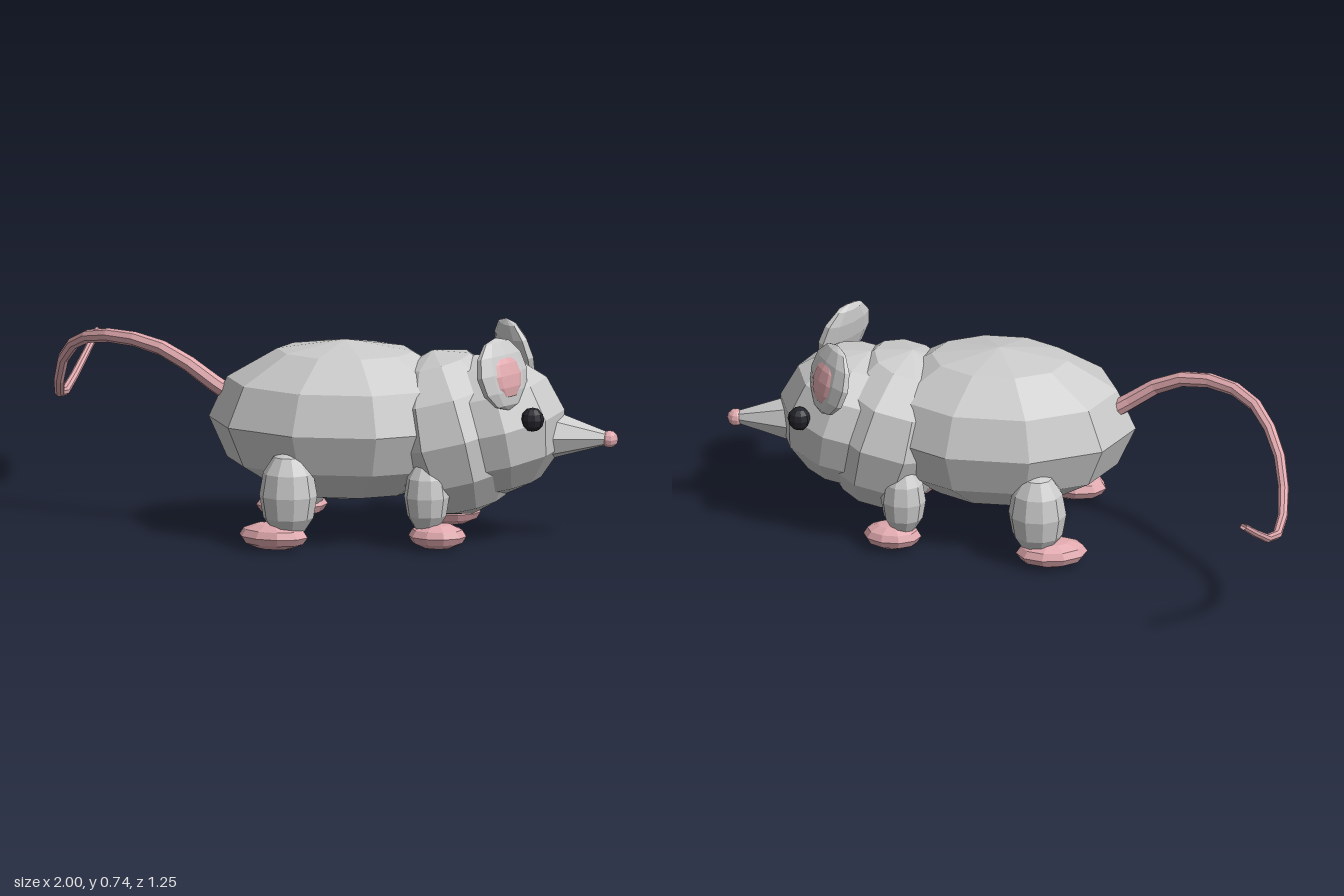
import * as THREE from 'three';

const paint = (color, side = THREE.FrontSide) =>
  new THREE.MeshStandardMaterial({ color, flatShading: true, side });

const MID = 0.28; // z of the body's plane of symmetry

export function createModel() {
  const fur = paint(0xcccccc);
  const pink = paint(0xe0a9ae);
  const black = paint(0x22232a);
  const model = new THREE.Group();
  model.name = 'mouse';

  // Low-poly ellipsoid, tilted about z
  function blob(name, material, [x, y, z], radii, tilt = 0, parent = model) {
    const mesh = new THREE.Mesh(new THREE.SphereGeometry(1, 10, 6), material);
    mesh.name = name;
    mesh.position.set(x, y, z);
    mesh.scale.set(...radii);
    mesh.rotation.z = tilt;
    parent.add(mesh);
    return mesh;
  }

  // Trunk and head
  blob('body', fur, [0.06, 0.41, MID], [0.47, 0.28, 0.336]);
  blob('chest', fur, [0.43, 0.375, MID], [0.25, 0.293, 0.288], 0.24);
  blob('head', fur, [0.56, 0.405, MID], [0.262, 0.247, 0.25], 0.22);

  // Snout and nose
  const snout = new THREE.Mesh(new THREE.CylinderGeometry(0.022, 0.1, 0.24, 8), fur);
  snout.name = 'snout';
  snout.rotation.z = -Math.PI / 2 - 0.05;
  snout.position.set(0.845, 0.371, MID);
  model.add(snout);
  blob('nose', pink, [0.97, 0.363, MID], [0.03, 0.03, 0.03]);

  // Paired parts
  for (const [side, s] of [['right', -1], ['left', 1]].map(([n, v]) => [n, -v])) {
    const z = (d) => MID + s * d;

    blob(side + 'Eye', black, [0.727, 0.463, z(0.182)], [0.04, 0.042, 0.036]);

    // Ear: flat disc facing forwards and outwards, with a pink inside
    const ear = new THREE.Group();
    ear.name = side + 'Ear';
    ear.position.set(0.622, 0.62, z(0.182));
    ear.rotation.set(0, -s * 0.6, 0.25, 'YXZ');
    blob('earShell', fur, [0, 0, 0], [0.035, 0.126, 0.124], 0, ear);
    blob('earInside', pink, [0.013, -0.008, 0], [0.029, 0.082, 0.08], 0, ear);
    model.add(ear);

    // Legs and feet
    blob(side + 'HindLeg', fur, [-0.105, 0.195, z(0.26)], [0.1, 0.155, 0.09]);
    blob(side + 'HindFoot', pink, [-0.155, 0.053, z(0.265)], [0.123, 0.048, 0.08])
      .rotation.y = -s * 0.2;
    blob(side + 'FrontLeg', fur, [0.365, 0.19, z(0.205)], [0.078, 0.13, 0.07]);
    blob(side + 'FrontFoot', pink, [0.402, 0.054, z(0.207)], [0.1, 0.046, 0.072]);
  }

  // Tail: tube along a curling path, narrowed towards the tip
  const path = new THREE.CatmullRomCurve3([
    [-0.3, 0.46, 0.265], [-0.37, 0.505, 0.267], [-0.49, 0.59, 0.258], [-0.6, 0.64, 0.225],
    [-0.73, 0.655, 0.165], [-0.83, 0.64, 0.09], [-0.9, 0.6, 0], [-0.955, 0.52, -0.09],
    [-0.98, 0.415, -0.17], [-0.985, 0.35, -0.3], [-0.965, 0.375, -0.43], [-0.9, 0.51, -0.62],
  ].map((p) => new THREE.Vector3(...p)));
  const rings = 14, sides = 8;
  const tube = new THREE.TubeGeometry(path, rings, 1, sides);
  const pos = tube.attributes.position;
  const v = new THREE.Vector3();
  for (let i = 0; i < pos.count; i++) {
    const t = Math.floor(i / (sides + 1)) / rings;
    const centre = path.getPointAt(t);
    v.fromBufferAttribute(pos, i).sub(centre).multiplyScalar(0.031 - 0.019 * t).add(centre);
    pos.setXYZ(i, v.x, v.y, v.z);
  }
  const tail = new THREE.Mesh(tube, paint(0xe0a9ae, THREE.DoubleSide));
  tail.name = 'tail';
  model.add(tail);

  return model;
}
